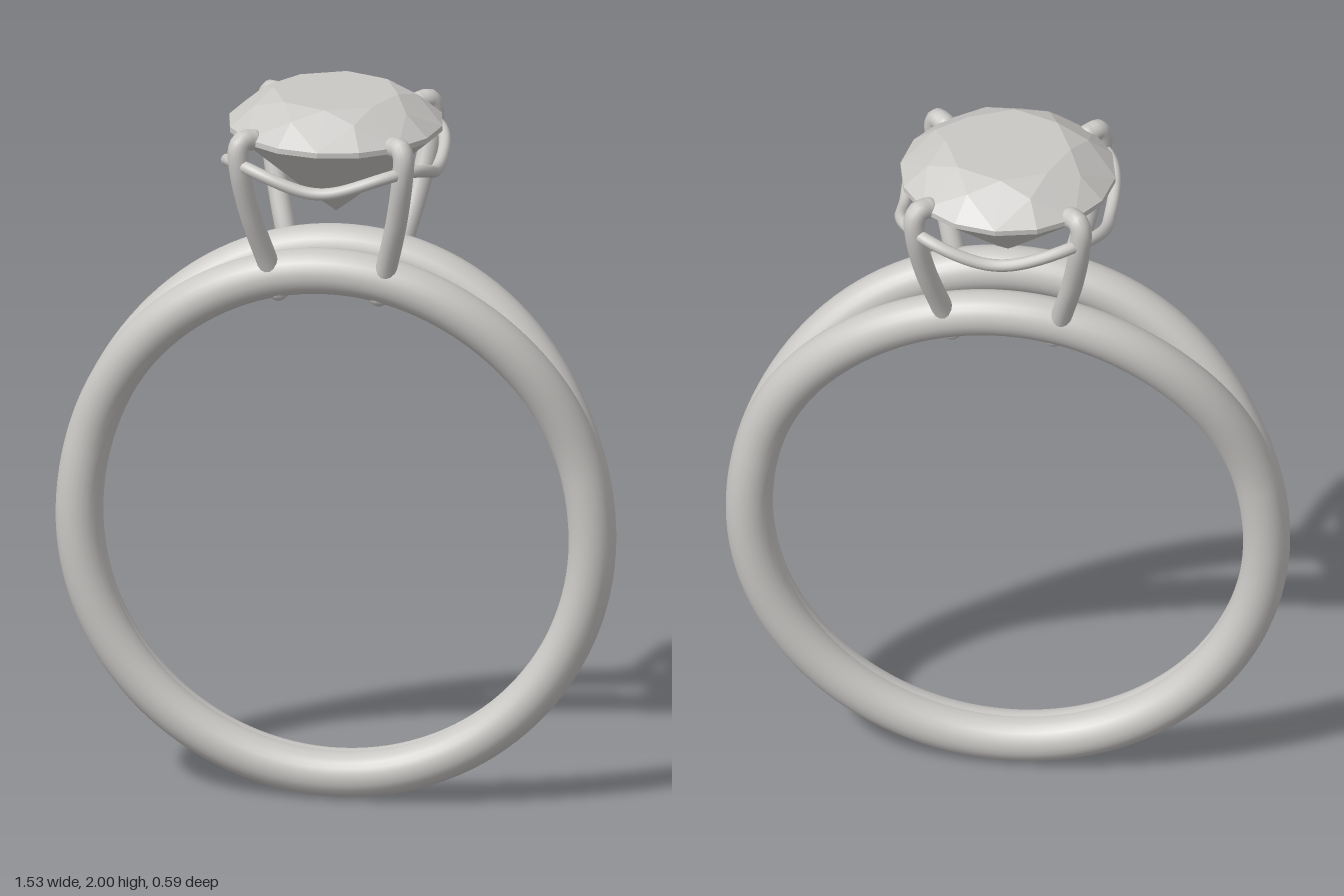
import * as THREE from 'three';

// Curve defined by a function of t in 0..1
class RuleCurve extends THREE.Curve {
  constructor(rule) { super(); this.rule = rule; }
  getPoint(t, target = new THREE.Vector3()) { return target.copy(this.rule(t)); }
}

const V = (x, y, z) => new THREE.Vector3(x, y, z);
const polar = (r, y, step) => { // step counts sixteenths of a turn
  const a = step * Math.PI / 8;
  return V(r * Math.cos(a), y, r * Math.sin(a));
};

// Round brilliant cut: flat facets built from rings of eight and sixteen points
function brilliantGeometry() {
  const pos = [];
  const tri = (a, b, c) => {
    // Wind every facet so that it faces away from the stone's middle
    const n = b.clone().sub(a).cross(c.clone().sub(a));
    const out = a.clone().add(b).add(c).divideScalar(3).sub(V(0, 1.9, 0));
    for (const p of n.dot(out) > 0 ? [a, b, c] : [a, c, b]) pos.push(p.x, p.y, p.z);
  };
  const quad = (a, b, c, d) => { tri(a, b, c); tri(a, c, d); };
  const table = s => polar(0.17, 2.0, s);
  const star = s => polar(0.225, 1.974, s);
  const upper = s => polar(0.292, 1.918, s);
  const lower = s => polar(0.292, 1.903, s);
  const pavilion = s => polar(0.06, 1.706, s);
  const top = V(0, 2.0, 0), culet = V(0, 1.66, 0);
  for (let s = 0; s < 16; s += 2) {
    tri(top, table(s), table(s + 2));
    tri(table(s), star(s + 1), table(s + 2));
    quad(table(s), star(s - 1), upper(s), star(s + 1));
    quad(culet, pavilion(s - 1), lower(s), pavilion(s + 1));
    for (const e of [s, s + 2]) {
      tri(star(s + 1), upper(e), upper(s + 1));
      tri(pavilion(s + 1), lower(e), lower(s + 1));
    }
    for (const e of [s, s + 1]) quad(upper(e), upper(e + 1), lower(e + 1), lower(e));
  }
  const g = new THREE.BufferGeometry();
  g.setAttribute('position', new THREE.Float32BufferAttribute(pos, 3));
  g.computeVertexNormals();
  return g;
}

export function createModel() {
  const ring = new THREE.Group();
  ring.name = 'ring';
  const metal = new THREE.MeshStandardMaterial({ color: 0xcac8c5 });
  metal.name = 'silver grey';

  const add = (parent, name, geometry) => {
    const m = new THREE.Mesh(geometry, metal);
    m.name = name;
    parent.add(m);
    return m;
  };

  // Split band: two strands that merge below and part towards the head
  for (const side of [1, -1]) {
    const strand = new RuleCurve(t => {
      const a = t * Math.PI * 2, s = Math.sin(a);
      const y = 0.765 + (s > 0 ? 0.757 : 0.7025) * s;
      const z = 0.0125 + 0.0975 * THREE.MathUtils.smoothstep(y, 0.95, 1.6);
      return V(0.7025 * Math.cos(a), y, side * z);
    });
    add(ring, side > 0 ? 'frontBandStrand' : 'backBandStrand',
      new THREE.TubeGeometry(strand, 128, 0.0625, 24, true));
  }

  // Four claws with rounded ends
  for (const sx of [1, -1]) {
    for (const sz of [1, -1]) {
      const claw = new THREE.Group();
      claw.name = (sz > 0 ? 'front' : 'back') + (sx > 0 ? 'Left' : 'Right') + 'Claw';
      const pts = [
        [0.138, 1.462, 0.112], [0.165, 1.56, 0.142], [0.2, 1.7, 0.193],
        [0.222, 1.83, 0.228], [0.226, 1.895, 0.23], [0.217, 1.916, 0.221], [0.194, 1.915, 0.198],
      ].map(([x, y, z]) => V(sx * x, y, sz * z));
      add(claw, 'clawStem', new THREE.TubeGeometry(new THREE.CatmullRomCurve3(pts), 48, 0.029, 14));
      for (const [name, p] of [['clawFoot', pts[0]], ['clawTip', pts[pts.length - 1]]]) {
        add(claw, name, new THREE.SphereGeometry(0.029, 14, 10)).position.copy(p);
      }
      ring.add(claw);
    }
  }

  // Gallery wire: rounded square that rises at each claw
  const wire = new RuleCurve(t => {
    const a = t * Math.PI * 2, c = Math.cos(4 * a), r = 0.3 - 0.022 * c;
    return V(r * Math.cos(a), 1.825 - 0.028 * c, r * Math.sin(a));
  });
  add(ring, 'galleryWire', new THREE.TubeGeometry(wire, 128, 0.017, 12, true));

  add(ring, 'stone', brilliantGeometry());
  return ring;
}
